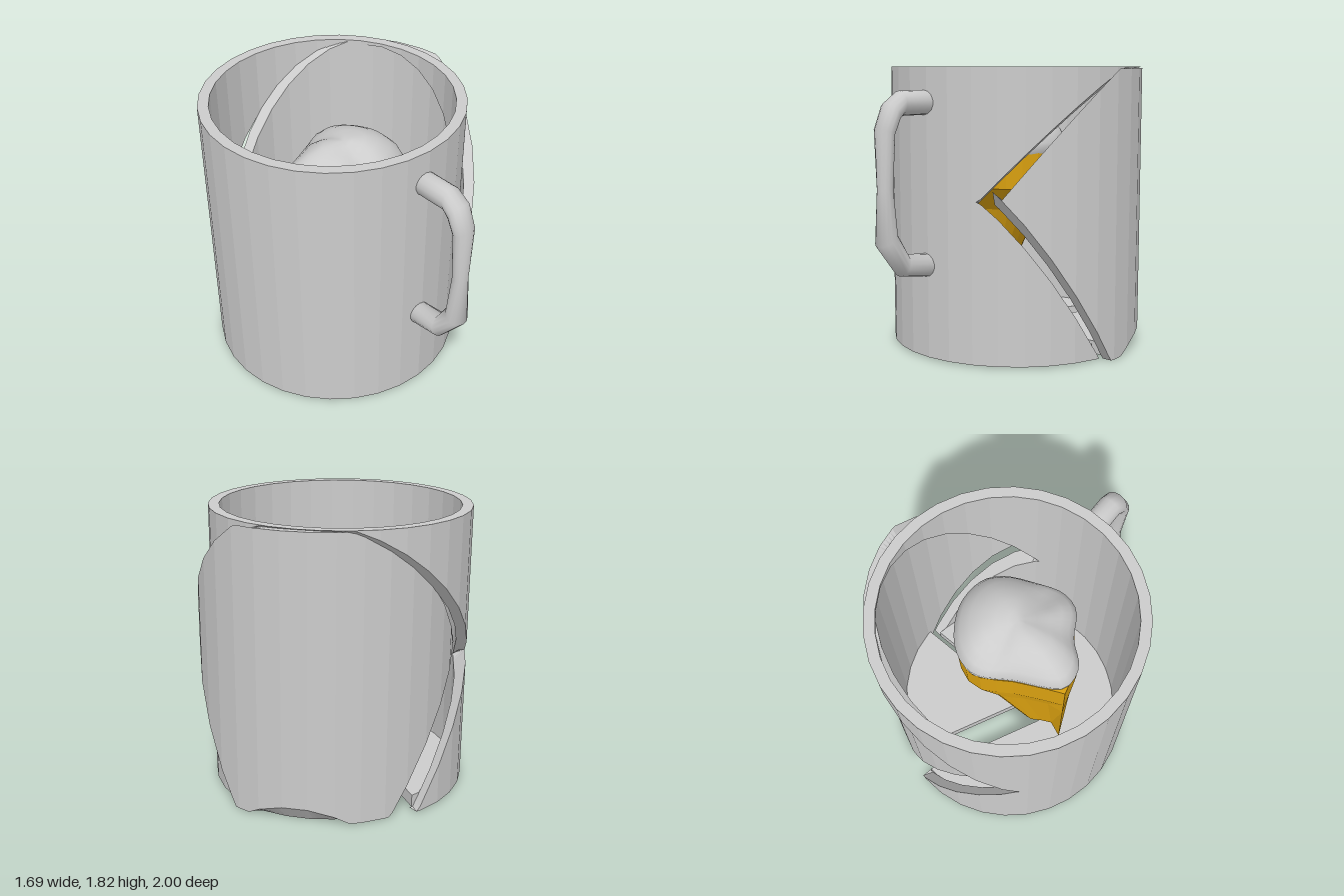
import * as THREE from 'three';
import { mergeVertices } from 'three/addons/utils/BufferGeometryUtils.js';

const SIDES = 32, SUB = 6, RO = 0.825, RI = 0.757, H = 1.82, Y0 = 0.01;
const clamp = THREE.MathUtils.clamp;
const grey = new THREE.MeshStandardMaterial({ color: 0xcccccc, flatShading: true, side: THREE.DoubleSide });
const smoothGrey = new THREE.MeshStandardMaterial({ color: 0xcccccc });
const gold = new THREE.MeshStandardMaterial({ color: 0xd9a010, flatShading: true });

function add(parent, name, geometry, material) {
  const mesh = new THREE.Mesh(geometry, material);
  mesh.name = name;
  parent.add(mesh);
  return mesh;
}

// Three planes meeting at a corner: the break runs between low() and high()
function breakPlanes(ax, az, a, b, c) {
  return {
    low: (x, z) => clamp(Math.max(
      (-0.26 * (x - ax) + 0.966 * (z - az)) / 0.633,
      (-0.77 * (x - ax) - 0.64 * (z - az)) / 0.65), Y0, 9),
    high: (x, z) => Math.min(a + b * x + c * z, H),
  };
}

// Faceted wall whose bottom and top heights follow lo(x, z) and hi(x, z)
function wall(lo, hi, showTop = () => true, showBottom = () => true) {
  const pos = [];
  const quad = (a, b, c, d) => [a, b, c, a, c, d].forEach(p => pos.push(...p));
  const column = (k) => {
    const step = Math.PI / SIDES, t = (k / SUB) * 2 * step;
    const local = ((k % SUB) / SUB) * 2 * step - step;
    return [RO, RI].map(r => {
      const q = r * Math.cos(step) / Math.cos(local);
      const x = q * Math.cos(t), z = q * Math.sin(t), l = lo(x, z);
      return { x, z, l: [x, l, z], h: [x, Math.max(l, hi(x, z)), z] };
    });
  };
  for (let k = 0; k < SIDES * SUB; k++) {
    const [o0, i0] = column(k), [o1, i1] = column(k + 1);
    const all = [o0, i0, o1, i1];
    if (Math.max(...all.map(p => p.h[1] - p.l[1])) < 1e-4) continue;
    quad(o0.l, o0.h, o1.h, o1.l);
    quad(i0.l, i1.l, i1.h, i0.h);
    if (all.some(p => showTop(p.x, p.z))) quad(i0.h, i1.h, o1.h, o0.h);
    if (all.some(p => showBottom(p.x, p.z))) quad(i0.l, o0.l, o1.l, i1.l);
  }
  const g = new THREE.BufferGeometry();
  g.setAttribute('position', new THREE.Float32BufferAttribute(pos, 3));
  g.computeVertexNormals();
  return g;
}

// Part of the round floor between two rays leaving the break's corner
function floorPart(ax, az, from, to) {
  const hit = (deg) => {
    const t = THREE.MathUtils.degToRad(deg), dx = Math.cos(t), dz = Math.sin(t);
    const b = ax * dx + az * dz;
    const s = -b + Math.sqrt(b * b - ax * ax - az * az + RI * RI);
    return Math.atan2(az + s * dz, ax + s * dx);
  };
  const a0 = hit(from);
  let a1 = hit(to);
  if (a1 < a0) a1 += Math.PI * 2;
  const pts = [new THREE.Vector2(ax, az)];
  for (let i = 0; i <= 32; i++) {
    const t = a0 + (a1 - a0) * i / 32;
    pts.push(new THREE.Vector2(RI * Math.cos(t), RI * Math.sin(t)));
  }
  const g = new THREE.ExtrudeGeometry(new THREE.Shape(pts), { depth: 0.08, bevelEnabled: false });
  return g.rotateX(Math.PI / 2).translate(0, Y0 + 0.08, 0);
}

// Closed skin over rings of equal length
function loft(rings) {
  const n = rings[0].length, pos = [], idx = [];
  const centre = (r) => r.reduce((s, p) => s.add(p), new THREE.Vector3()).divideScalar(n);
  rings.flat().forEach(p => pos.push(p.x, p.y, p.z));
  for (let j = 0; j < rings.length - 1; j++) {
    for (let i = 0; i < n; i++) {
      const a = j * n + i, b = j * n + (i + 1) % n;
      idx.push(a, b, b + n, a, b + n, a + n);
    }
  }
  const last = (rings.length - 1) * n, c0 = rings.length * n;
  [centre(rings[0]), centre(rings.at(-1))].forEach(p => pos.push(p.x, p.y, p.z));
  for (let i = 0; i < n; i++) {
    const k = (i + 1) % n;
    idx.push(c0, k, i, c0 + 1, last + i, last + k);
  }
  let g = new THREE.BufferGeometry();
  g.setAttribute('position', new THREE.Float32BufferAttribute(pos, 3));
  g.setIndex(idx);
  g = mergeVertices(g);
  g.computeVertexNormals();
  return g;
}

// Handle sections: outer z, outer y, inner z, inner y, half width
function handleGeometry() {
  const sections = [
    [0.59, 1.68, 0.59, 1.53, 0.075], [0.82, 1.68, 0.82, 1.53, 0.075],
    [0.92, 1.61, 0.85, 1.5, 0.08], [0.985, 1.46, 0.885, 1.42, 0.075],
    [0.985, 1.1, 0.89, 1.1, 0.05], [0.995, 0.76, 0.87, 0.83, 0.075],
    [0.84, 0.56, 0.79, 0.69, 0.078], [0.59, 0.52, 0.59, 0.67, 0.072],
  ];
  const rings = sections.map(([oz, oy, iz, iy, w]) => Array.from({ length: 14 }, (_, i) => {
    const t = i / 14 * Math.PI * 2, k = (1 + Math.cos(t)) / 2;
    const z = iz + (oz - iz) * k, y = iy + (oy - iy) * k, side = -Math.sin(t) * w;
    return new THREE.Vector3(-0.2 - 0.225 * (z - 0.6) + side * 0.975, y, z + side * 0.22);
  }));
  return loft(rings);
}

// Lumpy outline shared by the drink and its foam
const outline = new THREE.CatmullRomCurve3([
  [0.36, -0.08], [0.31, 0.13], [0.2, 0.22], [0, 0.265], [-0.18, 0.28], [-0.31, 0.21],
  [-0.38, 0.02], [-0.48, -0.13], [-0.46, -0.28], [-0.15, -0.375], [0.1, -0.44], [0.26, -0.34],
].map(([x, z]) => new THREE.Vector3(x, 0, z)), true);

function foamGeometry() {
  const mid = new THREE.Vector3(-0.04, 0, -0.08);
  const base = outline.getSpacedPoints(48).slice(0, 48);
  const levels = [[1.24, 0.9], [1.28, 0.98], [1.34, 1], [1.41, 0.9], [1.47, 0.74], [1.52, 0.54], [1.55, 0.33], [1.56, 0.13]];
  const rings = levels.map(([y, s]) => base.map(p => {
    const v = p.clone().sub(mid).multiplyScalar(s).add(mid);
    const lift = THREE.MathUtils.smoothstep(y, 1.3, 1.5);
    // two shallow valleys on the crown
    const valley = 0.08 * Math.exp(-((v.x + 0.12) ** 2) / 0.008) * THREE.MathUtils.smoothstep(v.z, -0.2, 0.15)
      + 0.05 * Math.exp(-(v.x ** 2) / 0.006) * THREE.MathUtils.smoothstep(-v.z, 0, 0.3);
    v.y = y + lift * (0.04 * v.x - valley);
    return v;
  }).reverse());
  return loft(rings);
}

// Drink tapering down towards its left side
function drinkGeometry() {
  const base = outline.getSpacedPoints(24).slice(0, 24);
  const rings = [[0.3, 0.35], [0.9, 0.75], [1.05, 0.98], [1.3, 0.99]].map(([y, s]) => base.map(p =>
    p.x < -0.38 && p.z < -0.2
      ? new THREE.Vector3(-0.47, y, -0.31) // corner peeking out of the foam
      : new THREE.Vector3(-0.4 + (p.x + 0.4) * s, y, -0.2 + (p.z + 0.2) * s)).reverse());
  return loft(rings).toNonIndexed();
}

export function createModel() {
  const model = new THREE.Group();
  model.name = 'brokenMug';

  // Mug body with the corner-shaped break left open
  const body = new THREE.Group();
  body.name = 'mugBody';
  body.position.set(-0.025, 0, -0.175);
  const cut = breakPlanes(-0.285, 0, 1.038, 0.971, -0.265);
  const open = (x, z) => cut.low(x, z) < cut.high(x, z);
  const seam = (x, z) => clamp((cut.low(x, z) + cut.high(x, z)) / 2, Y0, H);
  add(body, 'lowerWall', wall(() => Y0, (x, z) => open(x, z) ? cut.low(x, z) : seam(x, z), open), grey);
  add(body, 'upperWall', wall((x, z) => open(x, z) ? cut.high(x, z) : seam(x, z), () => H, undefined, open), grey);
  add(body, 'floor', floorPart(-0.285, 0, 15, -50), grey);
  model.add(body);

  // Broken piece, slipped out of place, with a chip along its bottom edge
  const shard = new THREE.Group();
  shard.name = 'brokenShard';
  shard.position.set(0.015, -0.01, -0.1);
  const edge = breakPlanes(-0.105, -0.06, 0.963, 1.12, -0.385);
  const chipped = (x, z) => Math.max(edge.low(x, z), 1.48 * (0.954 * x - 0.3 * z - 0.751));
  add(shard, 'shardWall', wall(chipped, edge.high), grey);
  add(shard, 'shardFloor', floorPart(-0.105, -0.06, -50, 15), grey).position.y = 0.015;
  model.add(shard);

  add(model, 'handle', handleGeometry(), smoothGrey);
  add(model, 'drink', drinkGeometry(), gold);
  add(model, 'foam', foamGeometry(), smoothGrey);
  return model;
}
